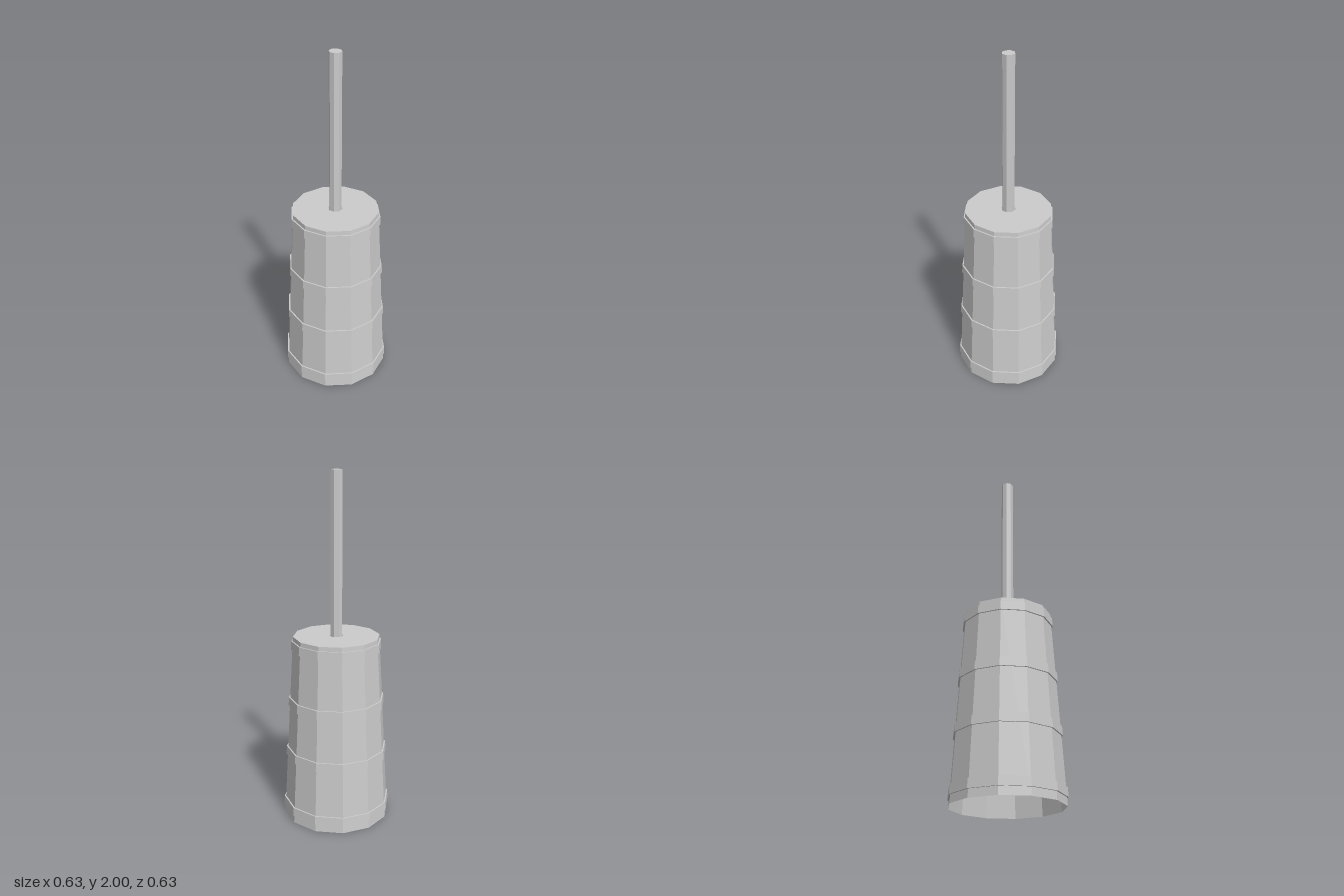
import * as THREE from 'three';

const SIDES = 12;
const HEIGHT = 1.085;
const LID_RADIUS = 0.247;

// Radius of the tapering tub at height y
const tubRadius = (y) => THREE.MathUtils.lerp(0.31, LID_RADIUS, y / HEIGHT);

// Regular polygon outline with a corner on each axis
function polygon(PathType, radius, sides) {
  const points = [];
  for (let i = 0; i < sides; i++) {
    const a = (i / sides) * Math.PI * 2;
    points.push(new THREE.Vector2(Math.cos(a) * radius, Math.sin(a) * radius));
  }
  return new PathType(points);
}

export function createModel() {
  const group = new THREE.Group();
  const material = new THREE.MeshStandardMaterial({
    color: 0xcccccc, flatShading: true, side: THREE.DoubleSide,
  });

  function add(name, geometry) {
    const mesh = new THREE.Mesh(geometry, material);
    mesh.name = name;
    group.add(mesh);
    return mesh;
  }

  function lathe(name, profile) {
    const points = profile.map(([r, y]) => new THREE.Vector2(r, y));
    return add(name, new THREE.LatheGeometry(points, SIDES));
  }

  // Tapered tub, open underneath
  lathe('tub', [[tubRadius(0), 0], [tubRadius(HEIGHT), HEIGHT]]);

  // Hoops that stand slightly proud of the tub and follow its taper
  const hoops = { bottomHoop: 0.045, lowerHoop: 0.37, upperHoop: 0.675, topHoop: 1.01 };
  for (const [name, y] of Object.entries(hoops)) {
    const top = y + 0.05;
    lathe(name, [
      [tubRadius(y), y],
      [tubRadius(y) + 0.008, y],
      [tubRadius(top) + 0.008, top],
      [tubRadius(top), top],
    ]);
  }

  // Flat lid with an eight-sided hole for the handle
  const lidShape = polygon(THREE.Shape, LID_RADIUS, SIDES);
  lidShape.holes.push(polygon(THREE.Path, 0.041, 8));
  const lid = add('lid', new THREE.ShapeGeometry(lidShape).rotateX(-Math.PI / 2));
  lid.position.y = HEIGHT;

  // Plunger handle passing loosely through the lid
  const handleBottom = 0.3;
  const handle = add('plungerHandle',
    new THREE.CylinderGeometry(0.035, 0.035, 2 - handleBottom, 8));
  handle.position.y = (2 + handleBottom) / 2;

  return group;
}
